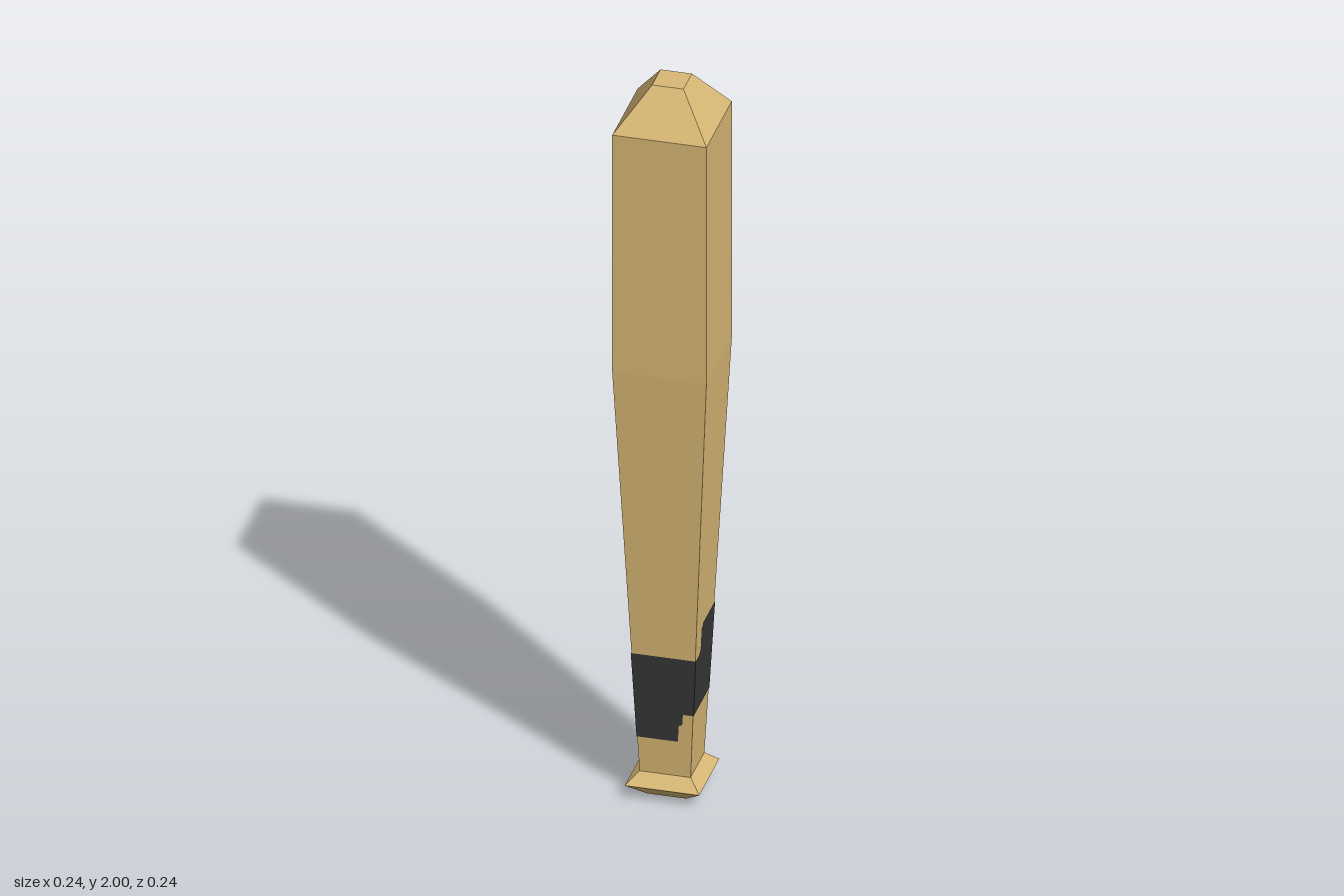
import * as THREE from 'three';

// Half width of the square section at each height
const profile = [
  [0, 0], [0.05, 0], [0.095, 0.04], [0.065, 0.07],
  [0.12, 1.22], [0.12, 1.89], [0.04, 2], [0, 2],
];

// Half width of the tapered handle at height y
const handleWidth = (y) => 0.065 + (0.055 * (y - 0.07)) / 1.15;

// Four-sided lathe with flat faces
function squareLathe(points) {
  const pts = points.map(([w, y]) => new THREE.Vector2(w * Math.SQRT2, y));
  const geo = new THREE.LatheGeometry(pts, 4, Math.PI / 4).toNonIndexed();
  geo.computeVertexNormals();
  return geo;
}

// Tape outline (fraction across the face, height) laid onto the sloping face
function tapePanel(outline) {
  const shape = new THREE.Shape(outline.map(([s, y]) => new THREE.Vector2(s, y)));
  const geo = new THREE.ShapeGeometry(shape);
  const pos = geo.attributes.position;
  for (let i = 0; i < pos.count; i++) {
    const w = handleWidth(pos.getY(i)) + 0.0015;
    pos.setXYZ(i, pos.getX(i) * w, pos.getY(i), w);
  }
  geo.computeVertexNormals();
  return geo;
}

export function createModel() {
  const wood = new THREE.MeshStandardMaterial({ color: 0xd9b976 });
  wood.name = 'wood';
  const tape = new THREE.MeshStandardMaterial({ color: 0x373737 });
  tape.name = 'darkTape';

  const model = new THREE.Group();
  model.name = 'bat';

  const body = new THREE.Mesh(squareLathe(profile), wood);
  body.name = 'batBody';
  model.add(body);

  // Grip tape spiralling round the handle, one stepped panel per face
  const panels = [
    ['gripTapeFront', 0, [[-1, 0.17], [0.48, 0.17], [0.5, 0.215], [0.62, 0.22], [0.64, 0.25], [1, 0.25], [1, 0.41], [-1, 0.41]]],
    ['gripTapeLeft', 1, [[-1, 0.25], [1, 0.25], [1, 0.49], [-0.33, 0.49], [-0.35, 0.48], [-0.45, 0.48], [-0.46, 0.42], [-0.6, 0.41], [-1, 0.41]]],
    ['gripTapeBack', 2, [[-1, 0.25], [1, 0.25], [1, 0.49], [-1, 0.49]]],
    ['gripTapeRight', 3, [[-1, 0.17], [1, 0.17], [1, 0.41], [0.66, 0.42], [0.64, 0.48], [0.5, 0.49], [-1, 0.49]]],
  ];
  for (const [name, turn, outline] of panels) {
    const panel = new THREE.Mesh(tapePanel(outline), tape);
    panel.name = name;
    panel.rotation.y = (turn * Math.PI) / 2;
    model.add(panel);
  }
  return model;
}
